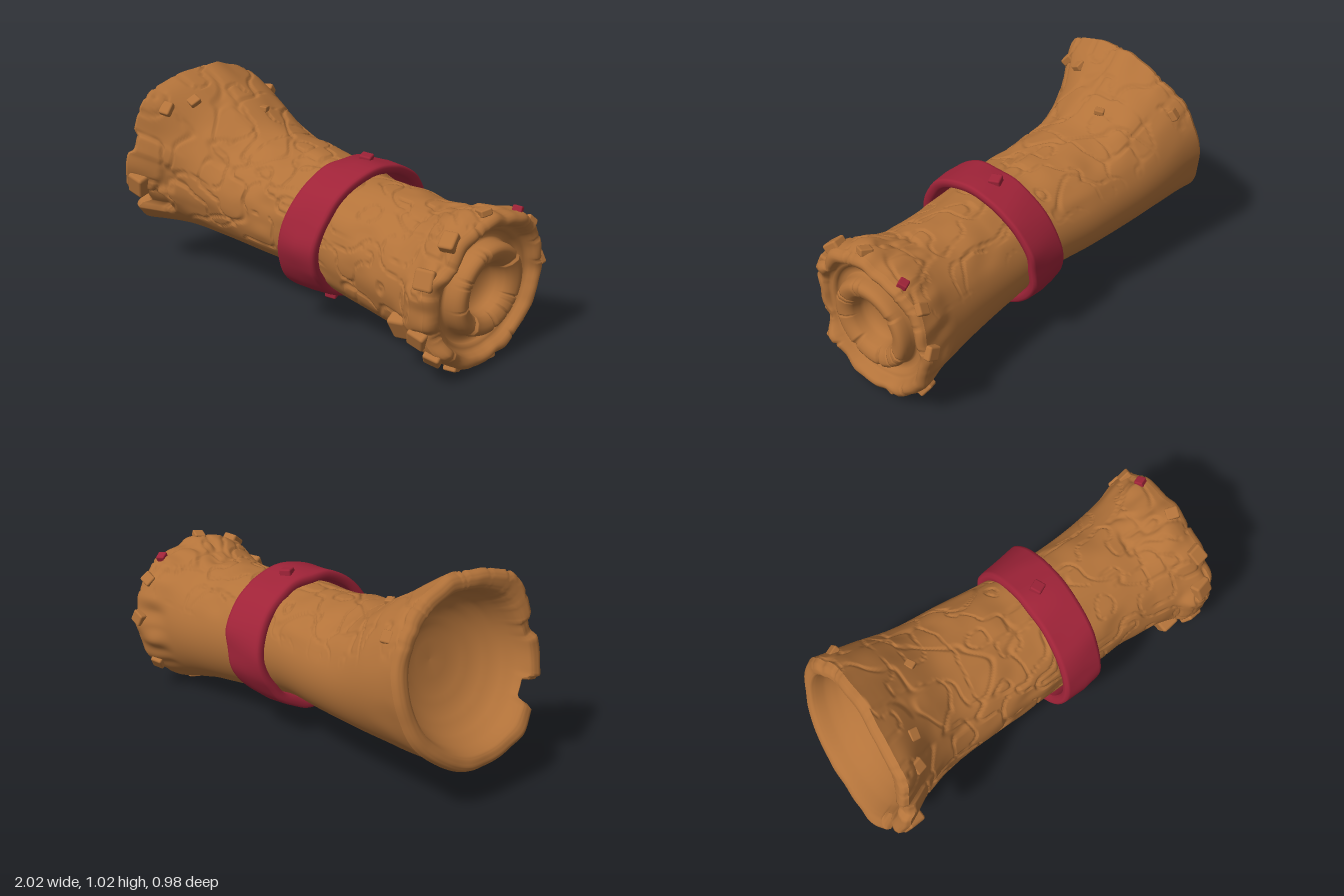
import * as THREE from 'three';
import { RoundedBoxGeometry } from 'three/addons/geometries/RoundedBoxGeometry.js';

const wood = new THREE.MeshStandardMaterial({ color: 0xb3733a });
wood.name = 'wood brown';
const red = new THREE.MeshStandardMaterial({ color: 0x9f2338 });
red.name = 'band red';

const { clamp, smoothstep, lerp } = THREE.MathUtils;

// Seeded value noise in two and three dimensions
const hash = (i, j) => {
  const s = Math.sin(i * 127.1 + j * 311.7) * 43758.5453;
  return s - Math.floor(s);
};
function noise2(x, y) {
  const i = Math.floor(x), j = Math.floor(y);
  const u = smoothstep(x - i, 0, 1), v = smoothstep(y - j, 0, 1);
  return lerp(lerp(hash(i, j), hash(i + 1, j), u), lerp(hash(i, j + 1), hash(i + 1, j + 1), u), v);
}
function noise3(x, y, z) {
  const k = Math.floor(z);
  return lerp(noise2(x + k * 57, y + k * 23), noise2(x + k * 57 + 57, y + k * 23 + 23), smoothstep(z - k, 0, 1));
}
// Noise around the circle without a seam
const ringNoise = (x, a, f, seed = 0) => noise3(f * Math.cos(a) + 31 + seed, f * Math.sin(a) + 17, x + 20);

// Closed loops of points joined into a skin
function loft(rows, cols, point) {
  const pos = [], idx = [];
  for (let i = 0; i <= rows; i++) {
    for (let j = 0; j < cols; j++) pos.push(...point(i, (j / cols) * Math.PI * 2));
  }
  for (let i = 0; i < rows; i++) {
    for (let j = 0; j < cols; j++) {
      const k = (j + 1) % cols, a = i * cols + j, b = i * cols + k;
      idx.push(a, a + cols, b, b, a + cols, b + cols);
    }
  }
  const g = new THREE.BufferGeometry();
  g.setAttribute('position', new THREE.Float32BufferAttribute(pos, 3));
  g.setIndex(idx);
  g.computeVertexNormals();
  return g;
}

// Shaft sections: x, then top, bottom, back, front
const sections = [
  [-0.86, 1.02, 0.18, -0.5, 0.355], [-0.8, 0.99, 0.19, -0.485, 0.335],
  [-0.65, 0.9, 0.2, -0.45, 0.285], [-0.45, 0.79, 0.2, -0.4, 0.27],
  [-0.2, 0.745, 0.2, -0.35, 0.29], [0.05, 0.725, 0.195, -0.29, 0.31],
  [0.3, 0.7, 0.14, -0.25, 0.335], [0.5, 0.69, 0.105, -0.235, 0.355],
  [0.65, 0.69, 0.08, -0.235, 0.385], [0.78, 0.725, 0.04, -0.24, 0.43],
  [0.88, 0.738, 0.012, -0.255, 0.465], [0.93, 0.73, 0.02, -0.26, 0.465],
];
const X0 = -0.86, X1 = 0.93;
const curve = new THREE.CubicInterpolant(
  sections.map((s) => s[0]), sections.flatMap((s) => s.slice(1)), 4);

function section(x) {
  const [top, bottom, back, front] = curve.evaluate(x);
  const t = (x - X0) / (X1 - X0);
  return {
    cy: (top + bottom) / 2, cz: (back + front) / 2, ry: (top - bottom) / 2, rz: (front - back) / 2,
    ty: lerp(0.24, 0.05, t), tz: lerp(-0.17, -0.12, t),
  };
}

// A point on the carved shaft
function shaftPoint(x, a) {
  const s = section(x);
  const w = a > Math.PI ? a - Math.PI * 2 : a;
  const near = (c, h) => 1 - smoothstep(Math.abs(w - c), h * 0.6, h);
  // Carving covers the front and top, the back stays smooth
  const carved = smoothstep(Math.cos(a - 1.0), -0.3, 0.25);
  const endR = smoothstep(x, 0.72, 0.86), endL = smoothstep(-x, 0.6, 0.84);
  let d = carved * (ringNoise(x * 9, a, 3.5, 5) - 0.5) * 0.02;
  const crackA = Math.abs(ringNoise(x * 6, a, 2.5, 40) - 0.5);
  const crackB = Math.abs(ringNoise(x * 10, a, 3.5, 70) - 0.5);
  d -= carved * 0.011 * ((1 - smoothstep(crackA, 0, 0.035)) + (1 - smoothstep(crackB, 0, 0.035)));
  // Ragged chips at both rims, and the shoulder of the wide end
  d += endR * (ringNoise(x * 5, a, 5, 90) - 0.5) * 0.045;
  d += endL * ((ringNoise(x * 5, a, 4, 120) - 0.5) * 0.02 + 0.06 * (1 - smoothstep(Math.abs(w - 0.82), 0, 0.6)));
  // Split running in from the wide rim
  d -= 0.045 * smoothstep(-x, 0.68, 0.76) * near(-0.5, 0.2);
  const y = s.ry * Math.sin(a), z = s.rz * Math.cos(a);
  const k = 1 + d / s.ry;
  // Notches broken out of the rims
  const broken = clamp((-0.6 - x) / 0.26, 0, 1) * (0.08 * near(-0.5, 0.18) + 0.03 * near(0.25, 0.14))
    - 0.045 * endR * near(-0.1, 0.6);
  const edge = (endL + endR) * (ringNoise(0, a, 3.5, 150) - 0.5) * 0.025;
  return [x + s.ty * y + s.tz * z + broken + edge, s.cy + y * k, s.cz + z * k];
}

// End surfaces: the rim loop shrunk along a profile of [scale, offset in x, depth of the radial cuts]
function endCap(x, profile, sub, cols) {
  const s = section(x);
  const rows = (profile.length - 1) * sub;
  return loft(rows, cols, (i, a) => {
    const n = Math.min(Math.floor(i / sub), profile.length - 2), f = i / sub - n;
    const [k, depth, cut = 0] = [0, 1, 2].map((c) => lerp(profile[n][c] ?? 0, profile[n + 1][c] ?? 0, f));
    const p = shaftPoint(x, a);
    const round = smoothstep(1 - k, 0.08, 0.25);
    const gap = Math.abs(ringNoise(0, a, 4, k > 0.65 ? 200 : 230) - 0.5);
    const off = depth - cut * (1 - smoothstep(gap, 0, 0.04));
    const even = [x + s.ty * s.ry * Math.sin(a) + s.tz * s.rz * Math.cos(a),
      s.cy + s.ry * Math.sin(a), s.cz + s.rz * Math.cos(a)];
    const q = p.map((v, c) => lerp(v, even[c], round));
    return [x + (q[0] - x) * k + off, s.cy + (q[1] - s.cy) * k, s.cz + (q[2] - s.cz) * k];
  });
}

export function createModel() {
  const model = new THREE.Group();
  const add = (name, geometry, material) => {
    const m = new THREE.Mesh(geometry, material);
    m.name = name;
    model.add(m);
    return m;
  };

  // Flared shaft
  add('shaft', loft(250, 200, (i, a) => shaftPoint(lerp(X0, X1, i / 250), a)), wood);

  // Hollow bowl with a thick rounded lip in the wide end
  const bowl = [[0, 0.2], [0.3, 0.19], [0.52, 0.16], [0.68, 0.11], [0.77, 0.05], [0.81, 0],
    [0.835, -0.022], [0.87, -0.03], [0.93, -0.032], [0.975, -0.022], [1, 0]];
  add('bowl', endCap(X0, bowl, 3, 200), wood);

  // Stepped rings in the narrow end
  const rings = [[1, 0], [0.975, 0.02, 0.01], [0.92, 0.032, 0.015], [0.86, 0.025, 0.01], [0.83, 0.005], [0.8, -0.02],
    [0.74, -0.03], [0.71, -0.05], [0.64, -0.055], [0.61, -0.045], [0.6, 0, 0.01], [0.57, 0.025, 0.012],
    [0.51, 0.035, 0.012], [0.42, 0.025, 0.012], [0.36, 0.005, 0.008], [0.335, -0.02], [0.3, -0.06],
    [0.2, -0.085], [0, -0.095]];
  add('endRings', endCap(X1, rings, 2, 200), wood);

  // Loose tilted band
  const profile = [[-0.095, -0.045], [-0.107, -0.036], [-0.11, -0.014], [-0.101, -0.002], [-0.088, 0], [0, 0.003],
    [0.088, 0], [0.101, -0.002], [0.11, -0.014], [0.107, -0.036], [0.095, -0.045], [0, -0.047], [-0.095, -0.045]];
  add('band', loft(profile.length - 1, 120, (i, a) => {
    const [w, r] = profile[i];
    const dent = (ringNoise(w * 9, a, 3, 300) - 0.5) * 0.02;
    const y = (0.318 + r + dent) * Math.sin(a), z = (0.358 + r + dent) * Math.cos(a);
    return [0.162 + w + 0.14 * y - 0.14 * z, 0.45 + y, 0.033 + z];
  }), red);

  // Angular lump, flattened along its outward axis
  const chunk = (r) => new RoundedBoxGeometry(r * 1.7, r * 1.7, r * 1.2, 2, r * 0.25);

  // Band studs: position, size
  const studs = [[0.2, 0.77, -0.02, 0.033], [0.1, 0.12, 0.1, 0.033], [0.2, 0.14, 0.02, 0.03]];
  for (const [x, y, z, r] of studs) {
    const m = add('bandStud', chunk(r), red);
    m.position.set(x, y, z);
    m.rotation.set(-Math.PI / 2, 0.14, 0.3);
  }

  // Red chip lodged in the narrow rim
  const chip = add('redChip', chunk(0.026), red);
  chip.position.set(0.945, 0.685, -0.1);
  chip.rotation.set(-2, 0, 0.3);

  // Knots and chips: x along the shaft, angle from front up over the top, size
  const knots = [[0.73, -0.45, 0.06], [0.89, -0.4, 0.045], [0.89, 0.4, 0.05], [0.9, 0.9, 0.045],
    [0.9, 1.5, 0.03], [0.91, 2.5, 0.03], [0.92, 3.05, 0.035], [0.9, 3.8, 0.04], [0.9, 4.5, 0.035], [0.89, 5.1, 0.035],
    [0.89, 5.6, 0.04], [-0.81, -0.25, 0.06], [-0.72, 1.0, 0.03], [-0.77, 0.75, 0.035],
    [-0.78, 2.5, 0.03], [-0.55, 1.7, 0.025]];
  knots.forEach(([x, a, r], i) => {
    const m = add('knot', chunk(r), wood);
    m.position.set(...shaftPoint(x, a));
    m.rotation.set(-a, lerp(-0.25, 0.25, hash(i, 3)), lerp(-0.5, 0.5, hash(i, 5)));
    m.scale.set(0.8 + 0.4 * hash(i, 7), 1.1, 0.9);
  });
  return model;
}
